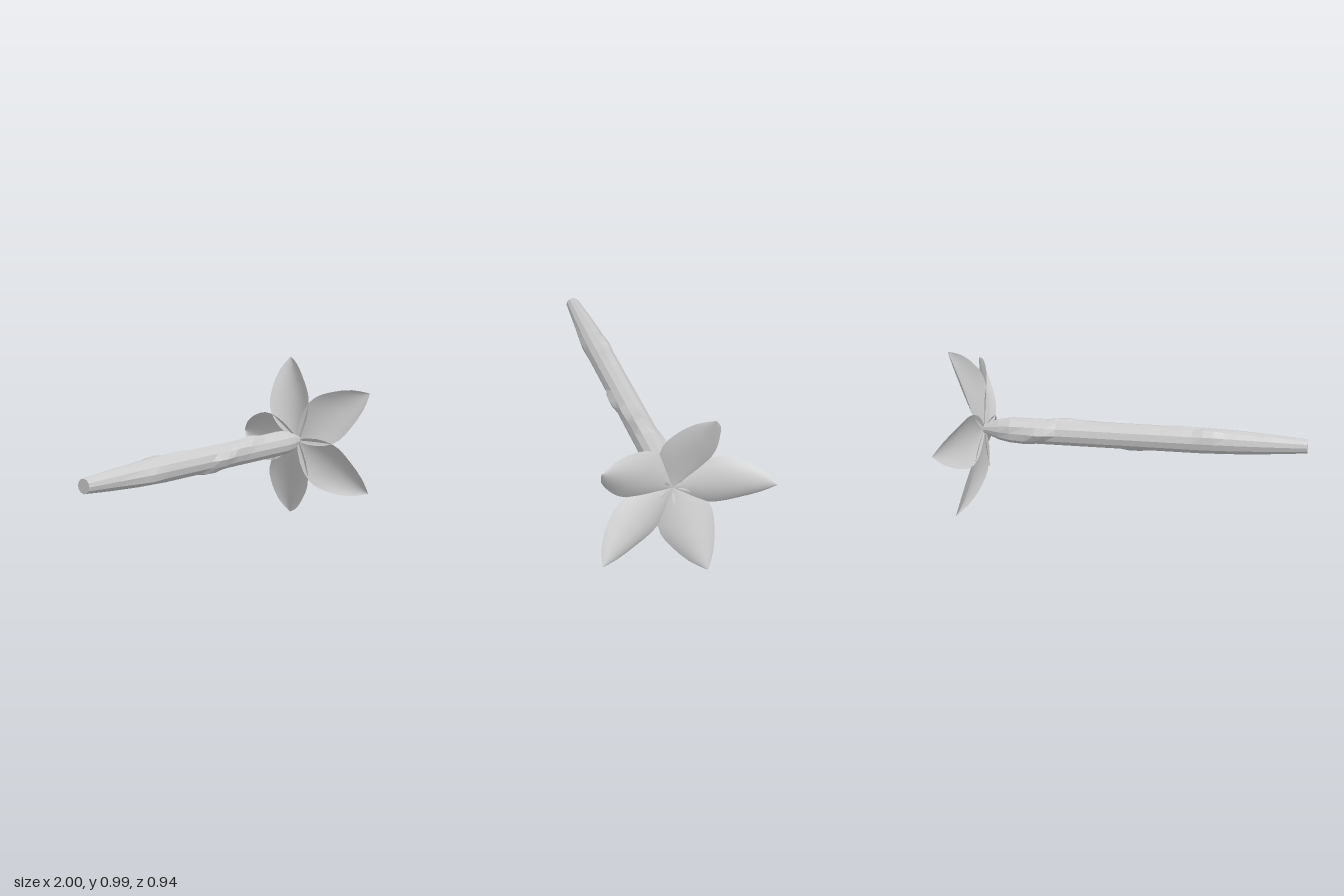
import * as THREE from 'three';

const CY = 0.497, CZ = 0.045; // axis of the stem and flower

// Build an indexed surface from a rows x cols grid of points
function gridGeometry(rows, cols, point) {
  const pos = [], idx = [];
  for (let i = 0; i < rows; i++) for (let j = 0; j < cols; j++) pos.push(...point(i, j));
  for (let i = 0; i < rows - 1; i++) for (let j = 0; j < cols - 1; j++) {
    const a = i * cols + j, b = a + 1, c = a + cols, d = c + 1;
    idx.push(a, b, c, b, d, c);
  }
  const g = new THREE.BufferGeometry();
  g.setAttribute('position', new THREE.Float32BufferAttribute(pos, 3));
  g.setIndex(idx);
  g.computeVertexNormals();
  return g;
}

// Linear interpolation in a short table of [key, value]
function lookup(table, k) {
  for (let i = 1; i < table.length; i++) {
    if (k <= table[i][0]) {
      const [k0, v0] = table[i - 1], [k1, v1] = table[i];
      return v0 + (v1 - v0) * (k - k0) / (k1 - k0);
    }
  }
  return table[table.length - 1][1];
}

// Leaf-shaped arched blade; each row is [radius, x of midline, x of edges, half width]
function bladeGeometry(rows, cols) {
  return gridGeometry(rows.length, cols, (i, j) => {
    const [r, mid, edge, half] = rows[i];
    const t = (j / (cols - 1)) * 2 - 1;
    return [mid + (edge - mid) * t * t, t * half, r];
  });
}

// Five copies of a blade around the x axis
function ring(name, geometry, material, startDeg) {
  const group = new THREE.Group();
  group.name = name + 's';
  for (let k = 0; k < 5; k++) {
    const mesh = new THREE.Mesh(geometry, material);
    mesh.name = name;
    mesh.rotation.x = Math.PI + THREE.MathUtils.degToRad(startDeg + k * 72);
    mesh.position.set(0, CY, CZ);
    group.add(mesh);
  }
  return group;
}

export function createModel() {
  const model = new THREE.Group();
  model.name = 'flower';
  const petalGrey = new THREE.MeshStandardMaterial({ color: 0xcccccc, side: THREE.DoubleSide });
  petalGrey.name = 'pale grey';
  const stemGrey = petalGrey.clone();
  stemGrey.name = 'pale grey faceted';
  stemGrey.flatShading = true;

  // Stem: tapered twelve-sided tube with shallow knots
  const profile = [[-1, 0.04], [-0.8, 0.056], [-0.6, 0.068], [-0.42, 0.074], [0.69, 0.074],
    [0.76, 0.062], [0.81, 0.043], [0.855, 0.025]];
  // Knots: [x, angle from the top towards the front, height]
  const knots = [[0.37, 15, 0.014], [-0.28, -5, 0.007], [-0.45, -35, 0.011], [0.52, -85, 0.02],
    [0.66, -55, 0.008], [0.04, 95, 0.018], [-0.02, 165, 0.014], [-0.55, 110, 0.01], [0.22, 60, 0.01],
    [0.62, -125, 0.012]];
  const xs = profile.map((p) => p[0]);
  for (let x = -0.36; x < 0.66; x += 0.06) xs.push(x);
  xs.push(-0.54, -0.48);
  xs.sort((a, b) => a - b);
  const sides = 12;
  const stemGeo = gridGeometry(xs.length, sides + 1, (i, j) => {
    const x = xs[i], deg = (j % sides) * (360 / sides);
    let r = lookup(profile, x);
    for (const [kx, ka, h] of knots) {
      const da = Math.abs(((deg - ka + 540) % 360) - 180) / 38;
      const d = Math.hypot((x - kx) / 0.1, da);
      if (d < 1) r += h * (1 - d * d);
    }
    const a = THREE.MathUtils.degToRad(deg);
    return [x, CY + 0.003 + r * Math.cos(a), CZ - 0.003 + r * Math.sin(a)];
  });
  const stem = new THREE.Mesh(stemGeo, stemGrey);
  stem.name = 'stem';
  model.add(stem);

  // Cut end of the stem
  const cut = new THREE.Mesh(new THREE.CircleGeometry(0.04, sides), stemGrey);
  cut.name = 'stemEnd';
  cut.rotation.y = -Math.PI / 2;
  cut.position.set(-1, CY + 0.003, CZ - 0.003);
  model.add(cut);

  // Petals: ridged along the middle, edges swept back and tucked under the neighbours
  const petal = bladeGeometry([
    [0.002, 0.857, 0.852, 0.012], [0.05, 0.865, 0.85, 0.06], [0.1, 0.877, 0.85, 0.1],
    [0.15, 0.891, 0.852, 0.128], [0.205, 0.907, 0.858, 0.147], [0.255, 0.923, 0.867, 0.151],
    [0.3, 0.937, 0.878, 0.143], [0.335, 0.948, 0.89, 0.131], [0.37, 0.958, 0.904, 0.117],
    [0.405, 0.968, 0.92, 0.101], [0.455, 0.982, 0.948, 0.07], [0.49, 0.992, 0.974, 0.036],
    [0.519, 1.0, 1.0, 0.001],
  ], 11);
  model.add(ring('petal', petal, petalGrey, -0.3));

  // Small inner leaves around the centre
  const leaf = bladeGeometry([
    [0.025, 0.862, 0.862, 0.001], [0.042, 0.869, 0.867, 0.007], [0.06, 0.876, 0.873, 0.01],
    [0.074, 0.881, 0.879, 0.008], [0.09, 0.887, 0.887, 0.001],
  ], 5);
  model.add(ring('innerLeaf', leaf, petalGrey, 54));

  return model;
}
